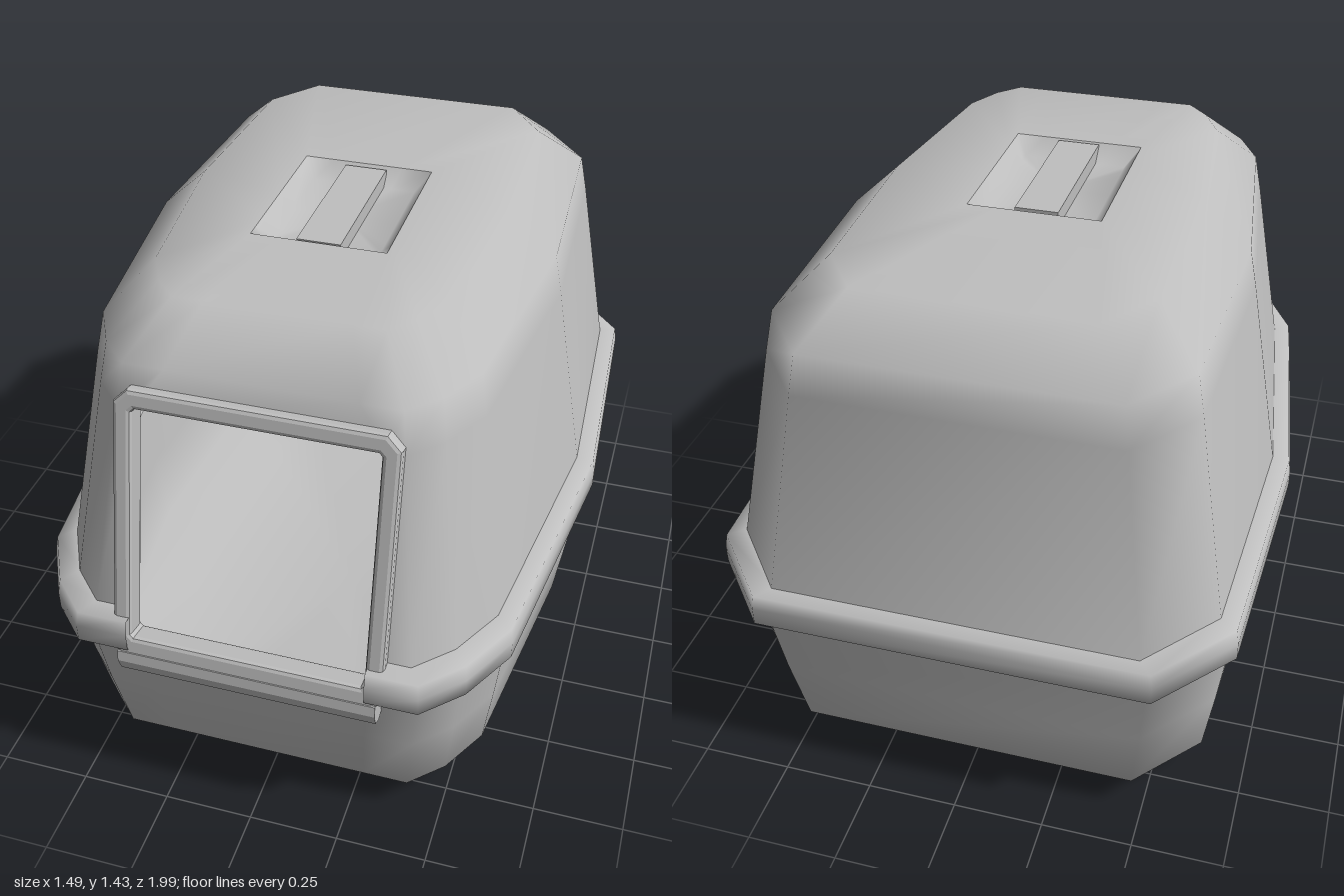
import * as THREE from 'three';

// Half outline of the body seen from above: front middle, round the left side, to the back
const HALF = [[0.32, 0.99], [0.46, 0.99], [0.56, 0.89], [0.645, 0.73], [0.745, -0.04], [0.71, -0.79], [0.53, -1]];
// Matching points on the edge of the handle recess
const RECESS = [[0.1, 0.24], [0.185, 0.24], [0.185, 0.2], [0.185, 0.15], [0.185, 0], [0.185, -0.24], [0.1, -0.24]];
const N = HALF.length * 2;

const mirrorLoop = (half) => [...half, ...half.slice().reverse().map(([x, z]) => [-x, z])];

// Body cross-section at height y with given half width, front z and back z
function bodyRing(y, w, front, back, doorway = false) {
  const s = w / 0.745;
  return mirrorLoop(HALF.map(([x, z], i) => [
    i === 0 && doorway ? 0.32 : x * s,
    z > 0 ? z * front / 0.99 : z * back,
  ])).map(([x, z]) => [x, y, z]);
}

function recessRing(y, s) {
  return mirrorLoop(RECESS).map(([x, z]) => [x * s - 0.008, y, z * s + 0.04]);
}

// Skin a stack of rings; the front middle panel is left open for rows below openRows
function loft(rings, openRows = 0) {
  const index = [];
  for (let i = 0; i < rings.length - 1; i++) {
    for (let j = 0; j < N; j++) {
      if (i < openRows && j === N - 1) continue;
      const k = (j + 1) % N;
      const a = i * N + j, b = i * N + k, c = a + N, d = b + N;
      index.push(a, b, d, a, d, c);
    }
  }
  const geo = new THREE.BufferGeometry();
  geo.setAttribute('position', new THREE.Float32BufferAttribute(rings.flat(2), 3));
  geo.setIndex(index);
  geo.computeVertexNormals();
  return geo;
}

// Rectangle with cut corners
function cutRect(Type, x, y0, y1, c) {
  const p = new Type();
  p.setFromPoints([
    [-x + c, y0], [x - c, y0], [x, y0 + c], [x, y1 - c],
    [x - c, y1], [-x + c, y1], [-x, y1 - c], [-x, y0 + c], [-x + c, y0],
  ].map(([a, b]) => new THREE.Vector2(a, b)));
  return p;
}

export function createModel() {
  const group = new THREE.Group();
  const plastic = new THREE.MeshStandardMaterial({ color: 0xbfbfbf, side: THREE.DoubleSide });
  plastic.name = 'grey plastic';
  const add = (name, geo) => {
    const mesh = new THREE.Mesh(geo, plastic);
    mesh.name = name;
    group.add(mesh);
    return mesh;
  };

  // Lower tray with closed floor
  add('tray', loft([
    bodyRing(0, 0.001, 0.001, 0.001),
    bodyRing(0, 0.5, 0.76, 0.77),
    bodyRing(0.11, 0.66, 0.85, 0.88),
    bodyRing(0.33, 0.692, 0.9, 0.925),
    bodyRing(0.55, 0.72, 0.935, 0.96, true),
  ]));

  // Overhanging rim, interrupted by the doorway
  add('rim', loft([
    bodyRing(0.545, 0.71, 0.93, 0.955, true),
    bodyRing(0.55, 0.745, 0.985, 1, true),
    bodyRing(0.6, 0.745, 0.985, 1, true),
    bodyRing(0.64, 0.738, 0.975, 0.995, true),
    bodyRing(0.645, 0.685, 0.92, 0.95, true),
  ], 4));

  // Hood with doorway at the front and a recess in the roof
  add('hood', loft([
    bodyRing(0.64, 0.69, 0.925, 0.957, true),
    bodyRing(1.2, 0.592, 0.797, 0.86, true),
    bodyRing(1.31, 0.57, 0.77, 0.84),
    bodyRing(1.43, 0.44, 0.63, 0.7),
    recessRing(1.43, 1),
  ], 1));

  // Sunken handle recess and the grip across it
  add('handleRecess', loft([
    recessRing(1.43, 1),
    recessRing(1.385, 0.8),
    recessRing(1.385, 0.001),
  ]));
  const grip = add('handleGrip', new THREE.BoxGeometry(0.12, 0.05, 0.45));
  grip.position.set(-0.01, 1.403, 0.045);

  // Leaning frame around the doorway
  const tilt = 0.225;
  const frame = cutRect(THREE.Shape, 0.352, 0, 0.75, 0.03);
  frame.holes.push(cutRect(THREE.Path, 0.327, 0.05, 0.722, 0.015));
  const frameGeo = new THREE.ExtrudeGeometry(frame, {
    depth: 0.05, bevelEnabled: true, bevelThickness: 0.012, bevelSize: 0.012, bevelSegments: 2,
  });
  const doorFrame = add('doorFrame', frameGeo);
  doorFrame.position.set(0, 0.51, 0.925);
  doorFrame.rotation.x = -tilt;

  // Rounded lip under the doorway
  const lip = new THREE.Shape([[0.9, 0.47], [0.945, 0.455], [0.975, 0.47], [0.99, 0.51], [0.985, 0.54], [0.9, 0.54]]
    .map(([z, y]) => new THREE.Vector2(-z, y)));
  const lipGeo = new THREE.ExtrudeGeometry(lip, { depth: 0.7, bevelEnabled: false });
  lipGeo.rotateY(Math.PI / 2);
  lipGeo.translate(-0.35, 0, 0);
  add('doorLip', lipGeo);

  return group;
}
